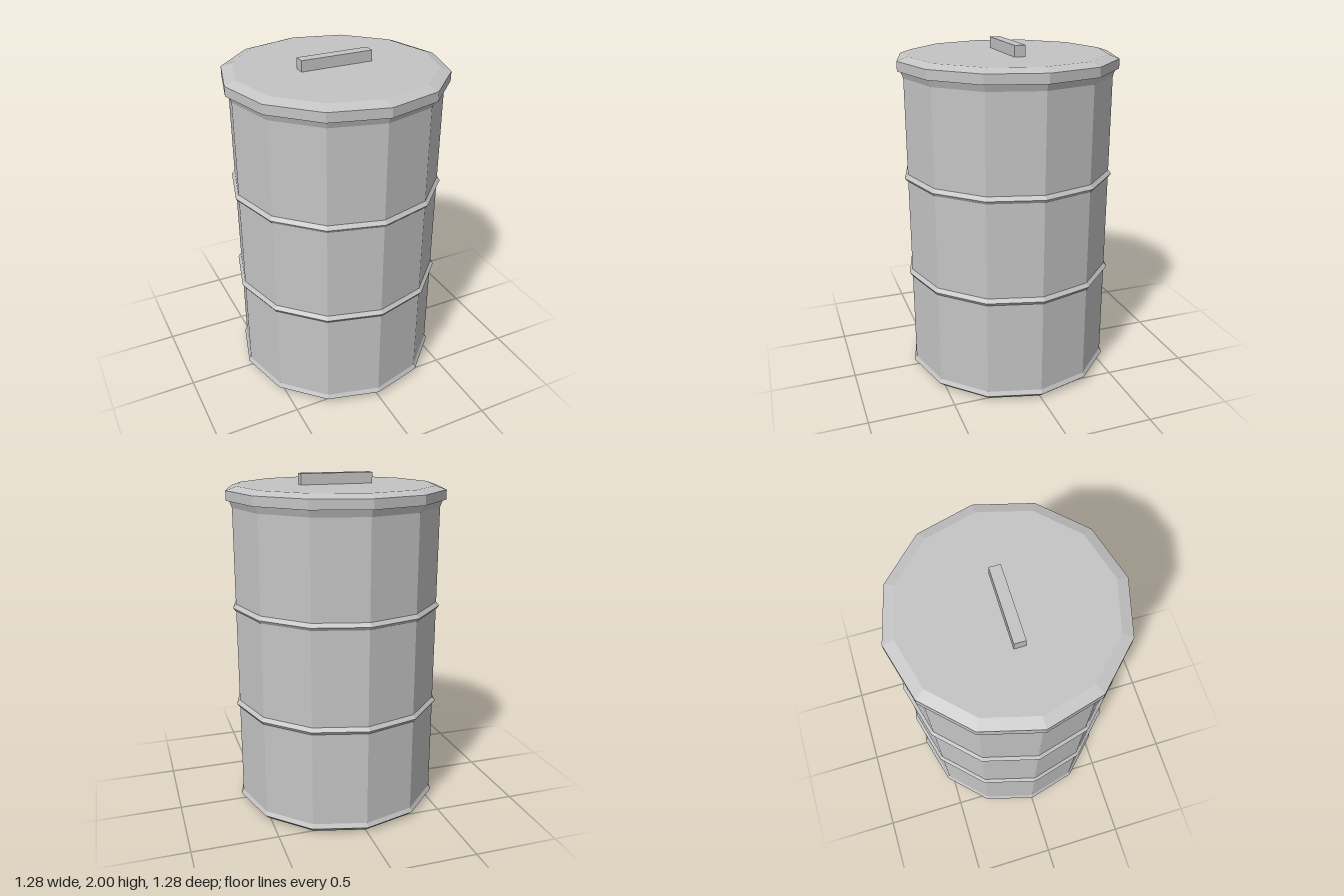
import * as THREE from 'three';

export function createModel() {
  const model = new THREE.Group();
  model.name = 'barrel';
  const steel = new THREE.MeshStandardMaterial({ color: 0xc4c4c4, flatShading: true });
  steel.name = 'grey steel';

  const add = (name, geometry, y = 0) => {
    const mesh = new THREE.Mesh(geometry, steel);
    mesh.name = name;
    mesh.position.y = y;
    model.add(mesh);
  };
  // Twelve-sided turned part from [radius, height] pairs, bottom to top
  const turned = (profile) =>
    new THREE.LatheGeometry(profile.map(([r, y]) => new THREE.Vector2(r, y)), 12);

  // Drum wall with a chamfered foot and a flared neck under the lid
  add('drumBody', turned([
    [0, 0], [0.58, 0], [0.62, 0.035], [0.607, 0.06], [0.607, 1.82], [0.622, 1.86],
  ]));

  // Two raised hoops
  for (const [name, y] of [['lowerHoop', 0.645], ['upperHoop', 1.245]]) {
    add(name, turned([[0.606, -0.02], [0.613, -0.02], [0.625, -0.002], [0.607, 0.02]]), y);
  }

  // Bevelled lid
  add('lid', turned([
    [0.6, 1.86], [0.64, 1.86], [0.64, 1.915], [0.577, 1.937], [0, 1.937],
  ]));

  // Bar handle on the lid
  add('lidHandle', new THREE.BoxGeometry(0.43, 0.066, 0.064), 1.967);

  return model;
}
